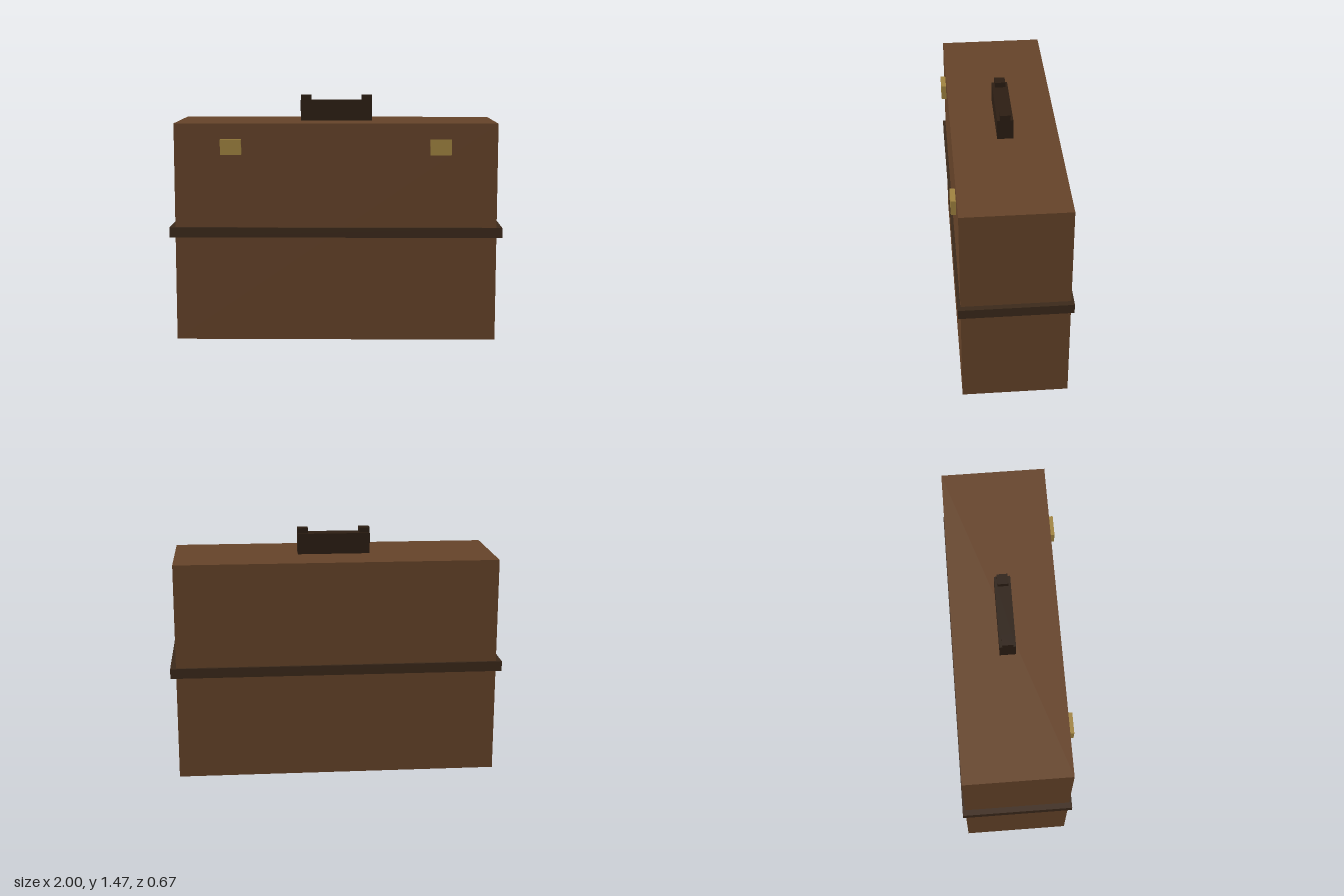
import * as THREE from 'three';

const leather = new THREE.MeshStandardMaterial({ color: 0x654329 });
const strapLeather = new THREE.MeshStandardMaterial({ color: 0x3b291a });
const gripLeather = new THREE.MeshStandardMaterial({ color: 0x2c1e13 });
const brass = new THREE.MeshStandardMaterial({ color: 0xa08340 });

// The case sits slightly behind the origin because the latches stick out in front
const CASE_Z = -0.006;

// Box given by its size, its centre in x and z, and the height of its underside
function addBox(parent, name, material, [w, h, d], [x, bottom, z]) {
  const mesh = new THREE.Mesh(new THREE.BoxGeometry(w, h, d), material);
  mesh.name = name;
  mesh.position.set(x, bottom + h / 2, z);
  parent.add(mesh);
}

export function createModel() {
  const suitcase = new THREE.Group();
  suitcase.name = 'suitcase';

  // Main case and the strap around its middle
  addBox(suitcase, 'caseBody', leather, [1.932, 1.315, 0.628], [0, 0, CASE_Z]);
  addBox(suitcase, 'strap', strapLeather, [2, 0.06, 0.66], [0, 0.63, CASE_Z]);

  // Carrying handle with a raised block at each end
  const handle = new THREE.Group();
  handle.name = 'handle';
  suitcase.add(handle);
  addBox(handle, 'handleGrip', gripLeather, [0.438, 0.125, 0.094], [0, 1.315, CASE_Z]);

  for (const [side, s] of [['left', 1], ['right', -1]]) {
    addBox(handle, `${side}HandleEnd`, gripLeather, [0.063, 0.032, 0.063], [s * 0.1875, 1.44, CASE_Z]);
    // Front latches
    addBox(suitcase, `${side}Latch`, brass, [0.125, 0.093, 0.062], [s * 0.626, 1.129, 0.307]);
  }

  return suitcase;
}
